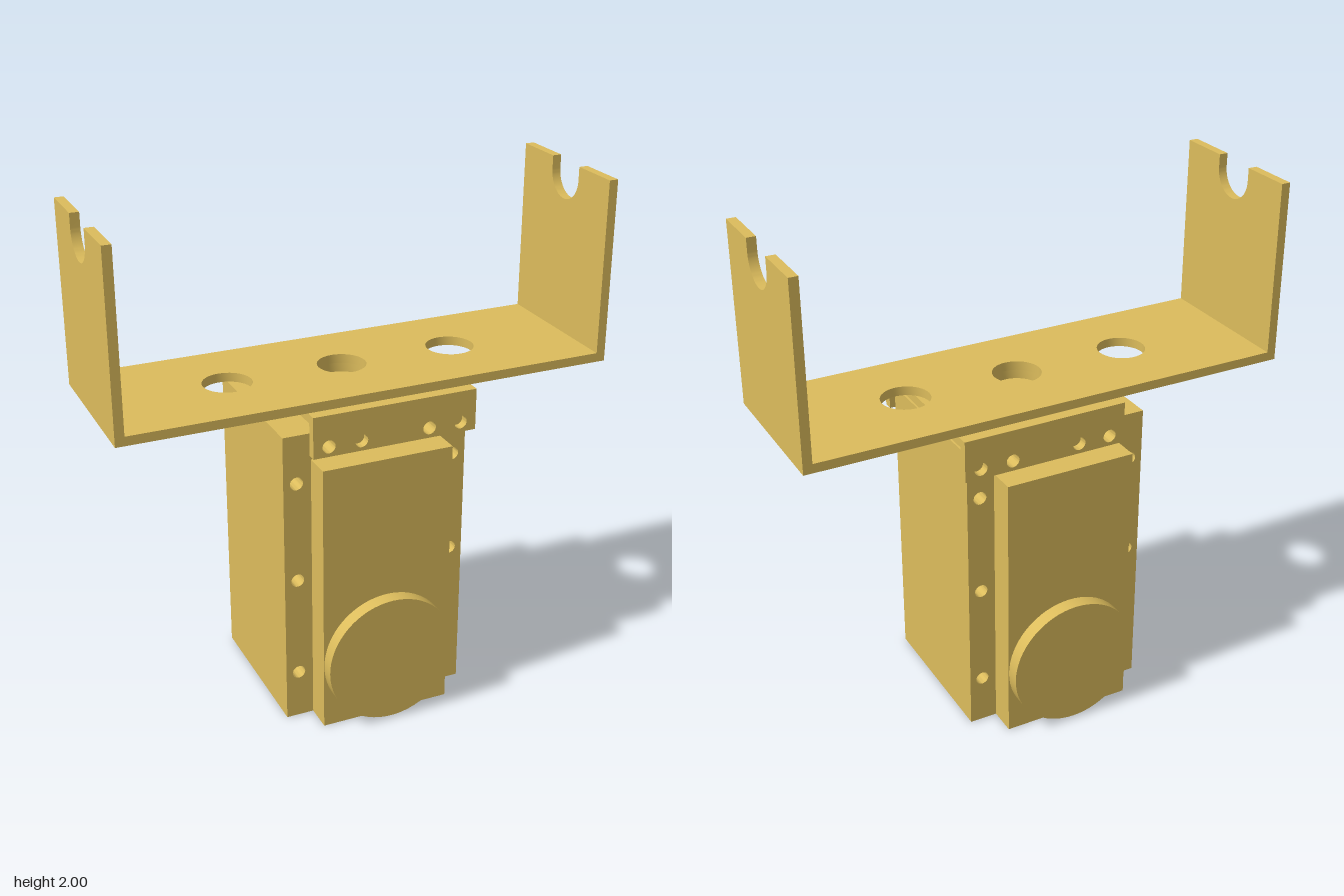
import * as THREE from 'three';
import { toCreasedNormals } from 'three/addons/utils/BufferGeometryUtils.js';

const material = new THREE.MeshStandardMaterial({ color: 0xdcbc5c });

function rect(x0, y0, x1, y1, holes = []) {
  const shape = new THREE.Shape([[x0, y0], [x1, y0], [x1, y1], [x0, y1]].map(p => new THREE.Vector2(...p)));
  for (const [x, y, r] of holes) {
    shape.holes.push(new THREE.Path().absarc(x, y, r, 0, Math.PI * 2, true));
  }
  return shape;
}

// Slab centred on its own thickness, with smooth hole walls and sharp edges
function slab(shape, depth) {
  const geo = new THREE.ExtrudeGeometry(shape, { depth, bevelEnabled: false, curveSegments: 20 });
  geo.translate(0, 0, -depth / 2);
  return toCreasedNormals(geo, 0.6);
}

export function createModel() {
  const group = new THREE.Group();
  const add = (name, geo, x = 0, y = 0, z = 0) => {
    const mesh = new THREE.Mesh(geo, material);
    mesh.name = name;
    mesh.position.set(x, y, z);
    group.add(mesh);
    return mesh;
  };
  const T = 0.036; // sheet thickness
  const pin = 0.026, holeR = 0.095;

  // Main block with screw holes running front to back
  const screws = [[-0.205, 1.155, pin], [0.202, 1.155, pin]];
  for (const x of [-0.32, 0.32]) for (const y of [0.197, 0.605, 1.012]) screws.push([x, y, pin]);
  add('body', slab(rect(-0.372, 0, 0.372, 1.205, screws), 0.63));

  // Raised covers and round caps, front and back
  for (const s of [1, -1]) {
    const side = s > 0 ? 'front' : 'back';
    add(side + 'Cover', new THREE.BoxGeometry(0.524, 1.1, 0.11), 0, 0.55, s * 0.37);
    const cap = new THREE.CylinderGeometry(0.26, 0.26, 0.055, 64).rotateX(Math.PI / 2);
    add(side + 'Cap', cap, 0, 0.27, s * 0.4525);
  }

  // Small offset saddle bracket straddling the top of the block
  const x0 = -0.267, x1 = 0.395;
  const pins = [-0.205, -0.075, 0.202, 0.332].map(x => [x, 1.155, pin]);
  for (const s of [1, -1]) {
    add(s > 0 ? 'frontSaddleFlange' : 'backSaddleFlange',
      slab(rect(x0, 1.115, x1, 1.244, pins), T), 0, 0, s * 0.333);
  }
  const top = slab(rect(x0, -0.351, x1, 0.351, [[0, 0, holeR]]), T).rotateX(-Math.PI / 2);
  add('saddlePlate', top, 0, 1.262, 0);

  // Wide U cradle: base plate with three holes
  const holes = [-0.463, 0, 0.463].map(x => [x, 0, holeR]);
  const base = slab(rect(-0.982, -0.305, 0.982, 0.305, holes), T).rotateX(-Math.PI / 2);
  add('cradleBase', base, 0, 1.298, 0);

  // Upright arms with a round-bottomed notch
  const arm = new THREE.Shape();
  arm.moveTo(-0.305, 1.316);
  arm.lineTo(0.305, 1.316);
  arm.lineTo(0.305, 2);
  arm.lineTo(holeR, 2);
  arm.lineTo(holeR, 1.947);
  arm.absarc(0, 1.947, holeR, 0, -Math.PI, true);
  arm.lineTo(-holeR, 2);
  arm.lineTo(-0.305, 2);
  arm.closePath();
  const armGeo = slab(arm, T).rotateY(Math.PI / 2);
  for (const s of [1, -1]) add(s > 0 ? 'leftArm' : 'rightArm', armGeo, s * 0.964, 0, 0);

  return group;
}
